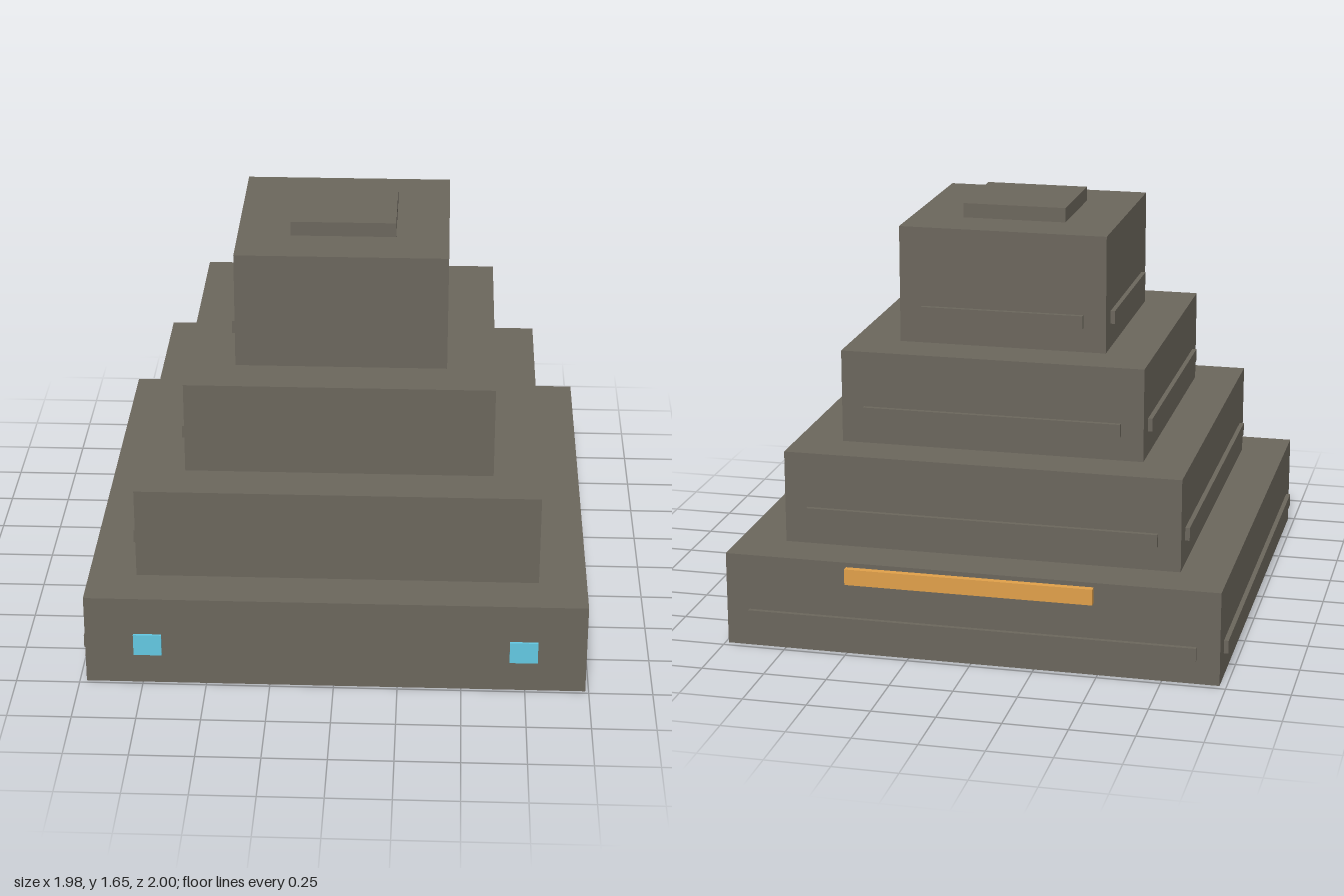
import * as THREE from 'three';

export function createModel() {
  const model = new THREE.Group();
  const stone = new THREE.MeshStandardMaterial({ color: 0x6b665c });
  const amber = new THREE.MeshStandardMaterial({ color: 0xe0a04a });
  const cyan = new THREE.MeshStandardMaterial({ color: 0x63c8e2 });

  // Box given by its two opposite corners
  function block(name, material, [x0, y0, z0], [x1, y1, z1]) {
    const mesh = new THREE.Mesh(new THREE.BoxGeometry(x1 - x0, y1 - y0, z1 - z0), material);
    mesh.name = name;
    mesh.position.set((x0 + x1) / 2, (y0 + y1) / 2, (z0 + z1) / 2);
    model.add(mesh);
  }

  // The tower's axis sits slightly off the origin because of the trims
  const cx = 0.007, cz = 0.006;

  // Stepped tiers: half width, bottom, top
  const tiers = [
    [0.98, 0, 0.375],
    [0.792, 0.375, 0.747],
    [0.607, 0.747, 1.12],
    [0.417, 1.12, 1.589],
  ];
  const inset = 0.09, depth = 0.018;
  tiers.forEach(([h, y0, y1], i) => {
    const n = i + 1;
    block(`tier${n}`, stone, [cx - h, y0, cz - h], [cx + h, y1, cz + h]);

    // Thin ledges on the back and right faces
    const t0 = y0 + 0.098, t1 = y0 + 0.15, r = h - inset;
    block(`backLedge${n}`, stone, [cx - r, t0, cz - h - depth], [cx + r, t1, cz - h]);
    block(`rightLedge${n}`, stone, [cx - h - depth, t0, cz - r], [cx - h, t1, cz + r]);
  });

  // Cap slab on the roof
  block('roofCap', stone, [cx - 0.208, 1.589, cz - 0.208], [cx + 0.208, 1.647, cz + 0.208]);

  // Amber bar on the back of the lowest tier
  block('backBar', amber, [cx - 0.49, 0.293, -1], [cx + 0.49, 0.357, cz - 0.98]);

  // Two small windows on the front
  for (const side of [-1, 1]) {
    const x = cx + side * 0.735;
    block(side < 0 ? 'rightWindow' : 'leftWindow', cyan,
      [x - 0.055, 0.128, cz + 0.97], [x + 0.055, 0.218, 0.996]);
  }

  return model;
}
